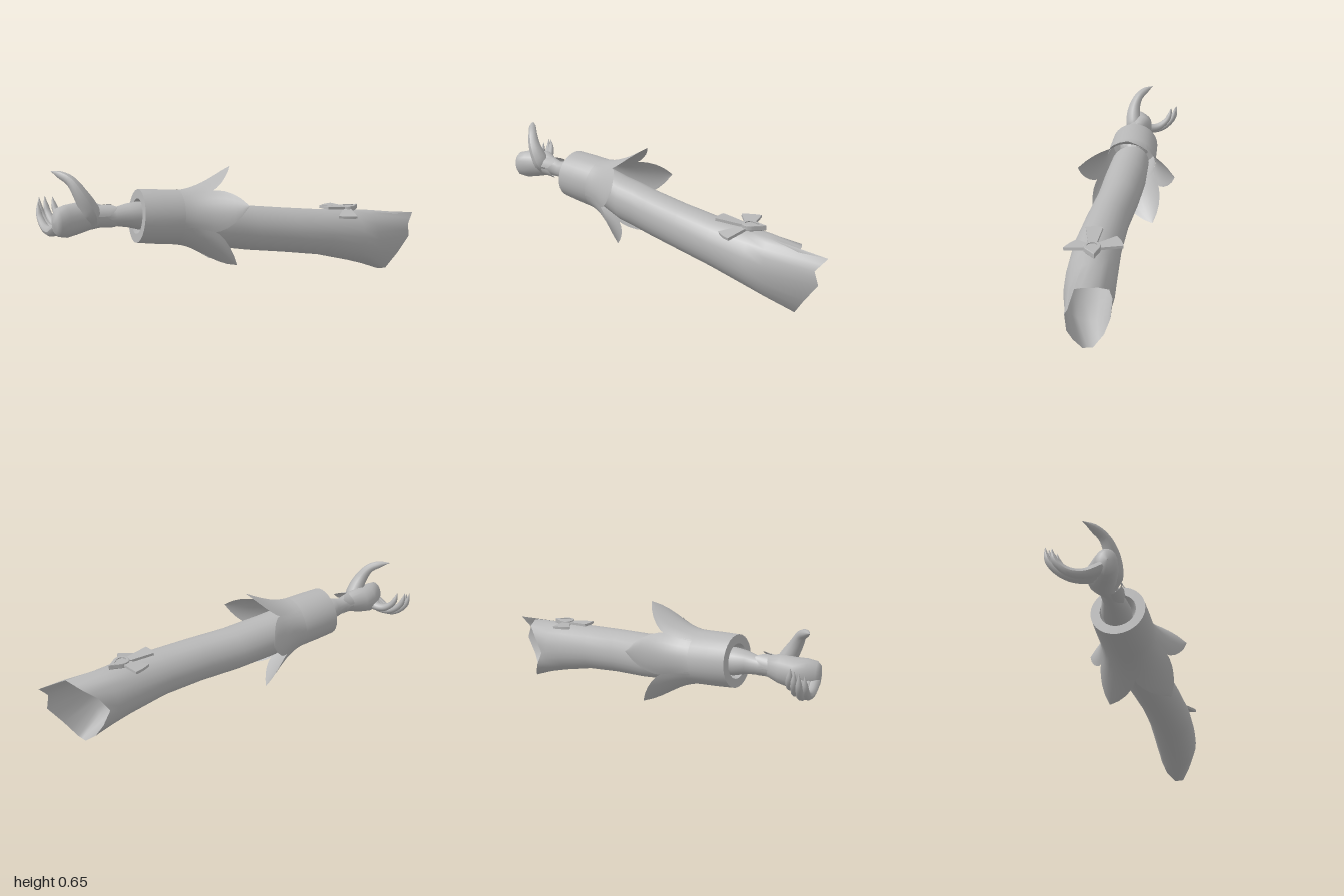
import * as THREE from 'three';
import { toCreasedNormals } from 'three/addons/utils/BufferGeometryUtils.js';

const grey = new THREE.MeshStandardMaterial({ color: 0xb6b6b6, side: THREE.DoubleSide });
grey.name = 'plain grey';

function part(name, geometry, parent) {
  const mesh = new THREE.Mesh(geometry, grey);
  mesh.name = name;
  parent.add(mesh);
  return mesh;
}

// Skin joining rows of points; closed rows wrap round
function loft(rows, closed = true) {
  const n = rows[0].length, index = [];
  const cols = closed ? n : n - 1;
  for (let i = 0; i < rows.length - 1; i++) {
    for (let j = 0; j < cols; j++) {
      const a = i * n + j, b = i * n + (j + 1) % n;
      index.push(a, a + n, b, b, a + n, b + n);
    }
  }
  const g = new THREE.BufferGeometry();
  g.setAttribute('position', new THREE.Float32BufferAttribute(rows.flat(2), 3));
  g.setIndex(index);
  g.computeVertexNormals();
  return g;
}

// Elliptical ring in a plane of constant z
function ring([z, cx, cy, rx, ry], n = 24) {
  return Array.from({ length: n }, (_, i) => {
    const a = i / n * Math.PI * 2;
    return [cx + rx * Math.cos(a), cy + ry * Math.sin(a), z];
  });
}

// Tube along a curve whose radius follows a list
function taperTube(points, radii) {
  const curve = new THREE.CatmullRomCurve3(points.map(p => new THREE.Vector3(...p)));
  const steps = 20, sides = 10;
  const g = new THREE.TubeGeometry(curve, steps, 1, sides);
  const pos = g.attributes.position, v = new THREE.Vector3();
  for (let i = 0; i <= steps; i++) {
    const c = curve.getPointAt(i / steps);
    const f = i / steps * (radii.length - 1), k = Math.min(Math.floor(f), radii.length - 2);
    const r = THREE.MathUtils.lerp(radii[k], radii[k + 1], f - k);
    for (let j = 0; j <= sides; j++) {
      const id = i * (sides + 1) + j;
      v.fromBufferAttribute(pos, id).sub(c).multiplyScalar(r).add(c);
      pos.setXYZ(id, v.x, v.y, v.z);
    }
  }
  g.computeVertexNormals();
  return g;
}

// Pointed petal curling outward from a round edge
function petal(angle, half, z0, length, r0, flare) {
  const rows = [];
  for (let i = 0; i <= 10; i++) {
    const t = i / 10;
    const w = t < 0.5 ? 1 : 1 - 0.99 * Math.pow((t - 0.5) * 2, 1.4);
    const row = [];
    for (let j = -4; j <= 4; j++) {
      const s = j / 4, a = angle + s * half * w;
      const r = r0 + flare * Math.pow(t, 1.6) * (1 - 0.3 * s * s * (1 - t));
      row.push([r * Math.cos(a), r * Math.sin(a), z0 - length * t]);
    }
    rows.push(row);
  }
  return loft(rows, false);
}

function makeSleeve(parent) {
  const rings = [
    [0.34, -0.04, 0.385, 0.11, 0.11], [0.2, 0.01, 0.345, 0.12, 0.12],
    [0.1, 0.045, 0.33, 0.118, 0.121], [0, 0.083, 0.312, 0.117, 0.121],
    [-0.2, 0.165, 0.288, 0.117, 0.123], [-0.4, 0.235, 0.262, 0.123, 0.128],
    [-0.6, 0.286, 0.228, 0.125, 0.147], [-0.7, 0.307, 0.208, 0.122, 0.158],
  ].map(r => ring(r));
  // Slanted open edge with a raised point
  const edge = [
    [0.435, 0.2, -0.965], [0.44, 0.27, -0.945], [0.427, 0.335, -1], [0.36, 0.345, -0.865],
    [0.28, 0.33, -0.85], [0.225, 0.275, -0.79], [0.205, 0.19, -0.74], [0.22, 0.11, -0.78],
    [0.255, 0.045, -0.81], [0.31, 0, -0.84], [0.36, 0.01, -0.85], [0.405, 0.1, -0.9],
  ];
  const end = [];
  edge.forEach((p, i) => {
    const q = edge[(i + 1) % 12];
    end.push(p, p.map((c, k) => (c + q[k]) / 2));
  });
  end[5] = [0.41, 0.338, -0.86];
  part('sleeve', loft([...rings, end]), parent);
}

function makeCuff(parent) {
  const cuff = new THREE.Group();
  cuff.name = 'cuff';
  cuff.position.set(-0.105, 0.412, 0.57);
  cuff.quaternion.setFromUnitVectors(new THREE.Vector3(0, 0, 1), new THREE.Vector3(-0.27, 0.1, 1).normalize());
  parent.add(cuff);
  // Band, flat front lip and inner lining
  const profile = [[0.142, -0.23], [0.14, -0.1], [0.136, 0], [0.09, 0], [0.084, -0.06], [0.03, -0.13]];
  const band = new THREE.LatheGeometry(profile.map(p => new THREE.Vector2(...p)), 28);
  band.rotateX(Math.PI / 2);
  part('cuffBand', toCreasedNormals(band, 0.7), cuff);
  for (let i = 0; i < 5; i++) {
    part('cuffPetal', petal(0.36 + i * Math.PI * 0.4, 0.65, -0.21, 0.29, 0.142, 0.138), cuff);
  }
}

function makeHand(parent) {
  const hand = new THREE.Group();
  hand.name = 'hand';
  parent.add(hand);
  const palm = [
    [0.46, -0.09, 0.405, 0.07, 0.07], [0.56, -0.112, 0.412, 0.075, 0.072],
    [0.62, -0.122, 0.418, 0.062, 0.06], [0.69, -0.138, 0.416, 0.043, 0.045],
    [0.74, -0.152, 0.425, 0.044, 0.055], [0.8, -0.182, 0.43, 0.066, 0.072],
    [0.87, -0.187, 0.42, 0.073, 0.078], [0.93, -0.175, 0.415, 0.062, 0.08],
    [0.975, -0.168, 0.415, 0.05, 0.07], [0.993, -0.165, 0.415, 0.032, 0.05],
    [0.998, -0.165, 0.415, 0.001, 0.001],
  ];
  part('palmAndWrist', loft(palm.map(r => ring(r, 18))), hand);
  // Pointed glove hem around the wrist
  const hem = new THREE.Group();
  hem.name = 'gloveHem';
  hem.position.set(-0.15, 0.425, 0.78);
  hem.rotation.y = -0.25;
  hand.add(hem);
  for (let i = 0; i < 4; i++) {
    part('hemPoint', petal(0.8 + i * Math.PI / 2, 0.7, 0, 0.1, 0.055, 0.008), hem);
  }
  part('thumb', taperTube([
    [-0.15, 0.39, 0.79], [-0.135, 0.46, 0.82], [-0.145, 0.54, 0.86],
    [-0.18, 0.605, 0.89], [-0.23, 0.635, 0.92], [-0.278, 0.65, 0.945],
  ], [0.03, 0.05, 0.043, 0.034, 0.026, 0.021, 0.001]), hand);
  // Four cupped fingers: z, length scale, lift
  [[0.875, 0.8, 0.03], [0.908, 0.94, 0.012], [0.94, 1, 0], [0.968, 0.88, -0.002]].forEach(([z, s, lift]) => {
    const path = [[0, 0.395], [-0.08, 0.36], [-0.16, 0.368], [-0.225, 0.42], [-0.245, 0.465], [-0.252, 0.508]];
    part('finger', taperTube(path.map(([x, y], i) => [
      -0.185 + x * s, 0.37 + (y - 0.37) * s + lift, z + (0.925 - z) * 0.05 * i,
    ]), [0.03, 0.029, 0.024, 0.021, 0.018, 0.015, 0.001]), hand);
  });
}

function makeBow(parent) {
  const bow = new THREE.Group();
  bow.name = 'bow';
  bow.position.set(0.28, 0.375, -0.59);
  parent.add(bow);
  // Flared ribbons: heading, tilt, length, end width
  [[-2.95, 0.04, 0.14, 0.1], [-0.8, -0.22, 0.14, 0.1], [-1.75, 0.1, 0.165, 0.085]].forEach(([heading, tilt, len, w]) => {
    const s = new THREE.Shape();
    s.moveTo(0, -0.015);
    s.lineTo(len, -w / 2);
    s.quadraticCurveTo(len + 0.012, 0, len, w / 2);
    s.lineTo(0, 0.015);
    const g = new THREE.ExtrudeGeometry(s, { depth: 0.014, bevelEnabled: false });
    g.rotateX(-Math.PI / 2);
    const m = part('ribbon', g, bow);
    m.rotation.set(0, heading, tilt, 'YXZ');
  });
  // Teardrop frame with a rounded stone
  const drop = (k, Type) => {
    const s = new Type();
    s.moveTo(0, 0.08 * k);
    s.bezierCurveTo(0.02 * k, 0.04 * k, 0.04 * k, 0.025 * k, 0.038 * k, 0);
    s.bezierCurveTo(0.036 * k, -0.045 * k, -0.036 * k, -0.045 * k, -0.038 * k, 0);
    s.bezierCurveTo(-0.04 * k, 0.025 * k, -0.02 * k, 0.04 * k, 0, 0.08 * k);
    return s;
  };
  const frame = drop(1, THREE.Shape);
  frame.holes.push(drop(0.65, THREE.Path));
  const solid = (shape, depth) => new THREE.ExtrudeGeometry(shape, {
    depth, bevelThickness: 0.004, bevelSize: 0.003, bevelSegments: 2,
  }).rotateX(-Math.PI / 2);
  part('stoneFrame', solid(frame, 0.02), bow);
  part('stone', solid(drop(0.6, THREE.Shape), 0.016), bow);
}

export function createModel() {
  const arm = new THREE.Group();
  arm.name = 'sleevedArm';
  makeSleeve(arm);
  makeCuff(arm);
  makeHand(arm);
  makeBow(arm);
  return arm;
}
